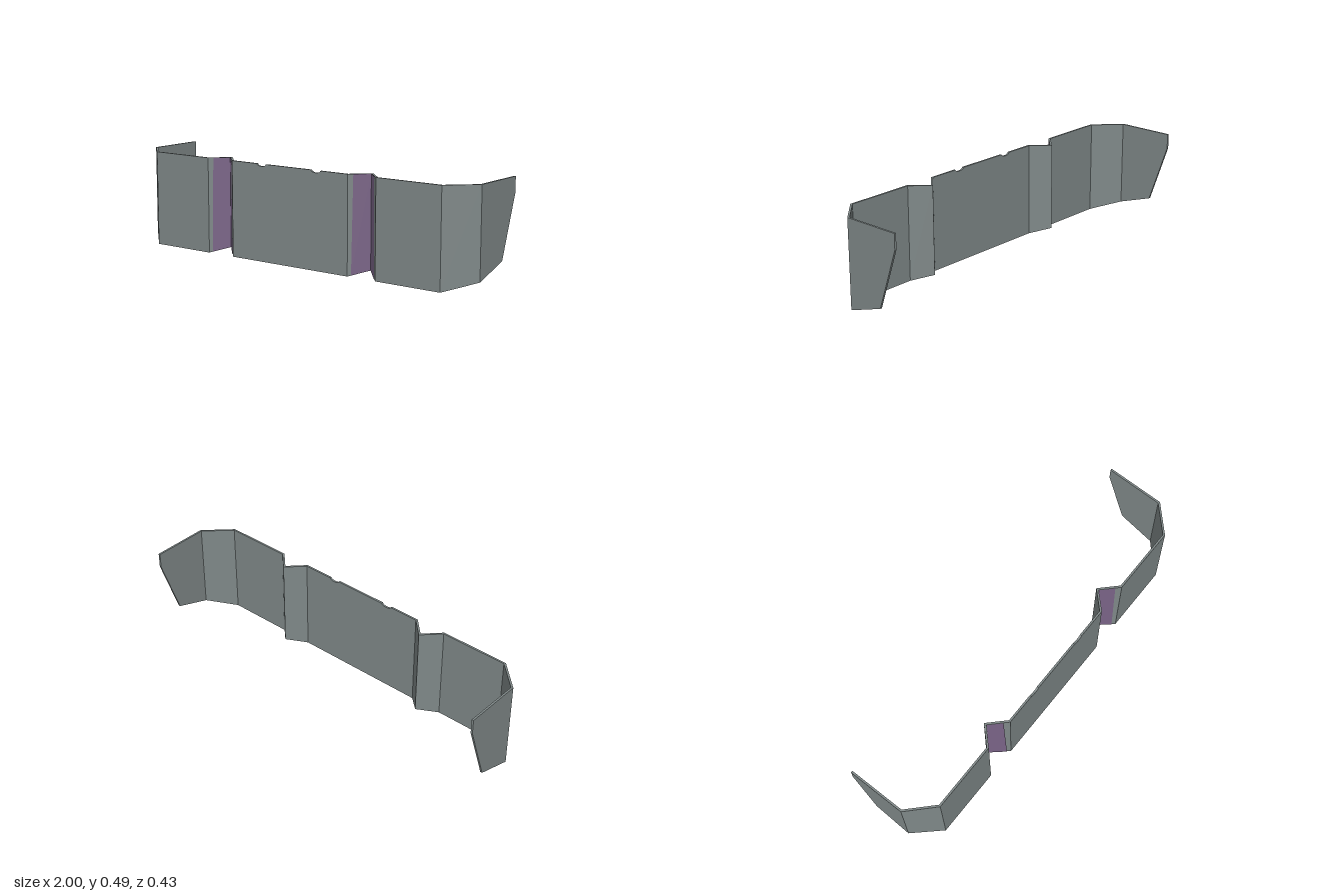
import * as THREE from 'three';

const TOP = 0.487, FRONT = 0.213, T = 0.01;

// Lower edge rises towards the back, steeply at the wing tips
const bottomAt = (z) => z > -0.107
  ? (FRONT - z) * 0.328
  : 0.105 + (-0.107 - z) * 2.88;

// Collects flat quads (corners anticlockwise) into a geometry
function quadGeometry(quads) {
  const pos = [];
  for (const [a, b, c, d] of quads) pos.push(...a, ...b, ...c, ...a, ...c, ...d);
  const g = new THREE.BufferGeometry();
  g.setAttribute('position', new THREE.Float32BufferAttribute(pos, 3));
  g.computeVertexNormals();
  return g;
}

// Plan of the folded sheet, as [x, z, top] columns from -x to +x
function buildColumns() {
  const half = [];
  const cx = 0.167, r = 0.028;
  for (let i = 0; i <= 8; i++) { // shallow rounded notch in the top edge
    const a = Math.PI * i / 8;
    half.push([cx - r * Math.cos(a), FRONT, TOP - 0.012 * Math.sin(a)]);
  }
  half.push(
    [0.355, FRONT, TOP], [0.435, 0.133, TOP], [0.515, FRONT, TOP],
    [0.87, FRONT, TOP], [1, 0.087, TOP], [1, -0.107, TOP], [1, -0.213, TOP]);
  return [...half.map(([x, z, y]) => [-x, z, y]).reverse(), ...half];
}

// Adds the mitred inner point to each column and gives its four corners
function corners(cols) {
  const normal = (a, b) => new THREE.Vector2(-(b[1] - a[1]), b[0] - a[0]).normalize();
  return cols.map((c, i) => {
    const n0 = normal(cols[Math.max(i - 1, 0)], cols[Math.max(i, 1)]);
    const last = cols.length - 1;
    const n1 = normal(cols[Math.min(i, last - 1)], cols[Math.min(i + 1, last)]);
    const m = n0.clone().add(n1).multiplyScalar(T / (1 + n0.dot(n1)));
    const [x, z, top] = c, ix = x - m.x, iz = z - m.y;
    return {
      ob: [x, bottomAt(z), z], ot: [x, top, z],
      ib: [ix, bottomAt(iz), iz], it: [ix, top, iz],
    };
  });
}

export function createModel() {
  const group = new THREE.Group();
  const grey = new THREE.MeshStandardMaterial({ color: 0x7f8888 });
  grey.name = 'steel grey';
  const purple = new THREE.MeshStandardMaterial({ color: 0x7a6487 });
  purple.name = 'muted purple';

  const add = (name, quads, material) => {
    const mesh = new THREE.Mesh(quadGeometry(quads), material);
    mesh.name = name;
    group.add(mesh);
  };

  const c = corners(buildColumns());
  const last = c.length - 1;

  // One panel of the sheet, between two columns
  const panel = (name, from, to) => {
    const quads = [];
    for (let i = from; i < to; i++) {
      const a = c[i], b = c[i + 1];
      quads.push(
        [a.ob, b.ob, b.ot, a.ot], [b.ib, a.ib, a.it, b.it],
        [a.ot, b.ot, b.it, a.it], [a.ib, b.ib, b.ob, a.ob]);
    }
    if (from === 0) quads.push([c[0].ib, c[0].ob, c[0].ot, c[0].it]);
    if (to === last) quads.push([c[to].ob, c[to].ib, c[to].it, c[to].ot]);
    add(name, quads, grey);
  };

  // Panels named outwards from the middle, mirrored by column index
  const parts = [['Wing', 0, 2], ['CornerPanel', 2, 3], ['SidePanel', 3, 4], ['Groove', 4, 6]];
  for (const [name, from, to] of parts) {
    panel('right' + name, from, to);
    panel('left' + name, last - to, last - from);
  }
  panel('centrePanel', 6, last - 6);

  // Painted stripes inside the two V grooves
  for (const [name, x] of [['rightStripe', -0.435], ['leftStripe', 0.435]]) {
    const at = (dx, top) => {
      const z = 0.133 + Math.abs(dx);
      return [x + dx, top ? TOP : bottomAt(z), z + 0.003];
    };
    add(name, [
      [at(-0.066), at(0), at(0, true), at(-0.06, true)],
      [at(0), at(0.064), at(0.056, true), at(0, true)],
    ], purple);
  }
  return group;
}
